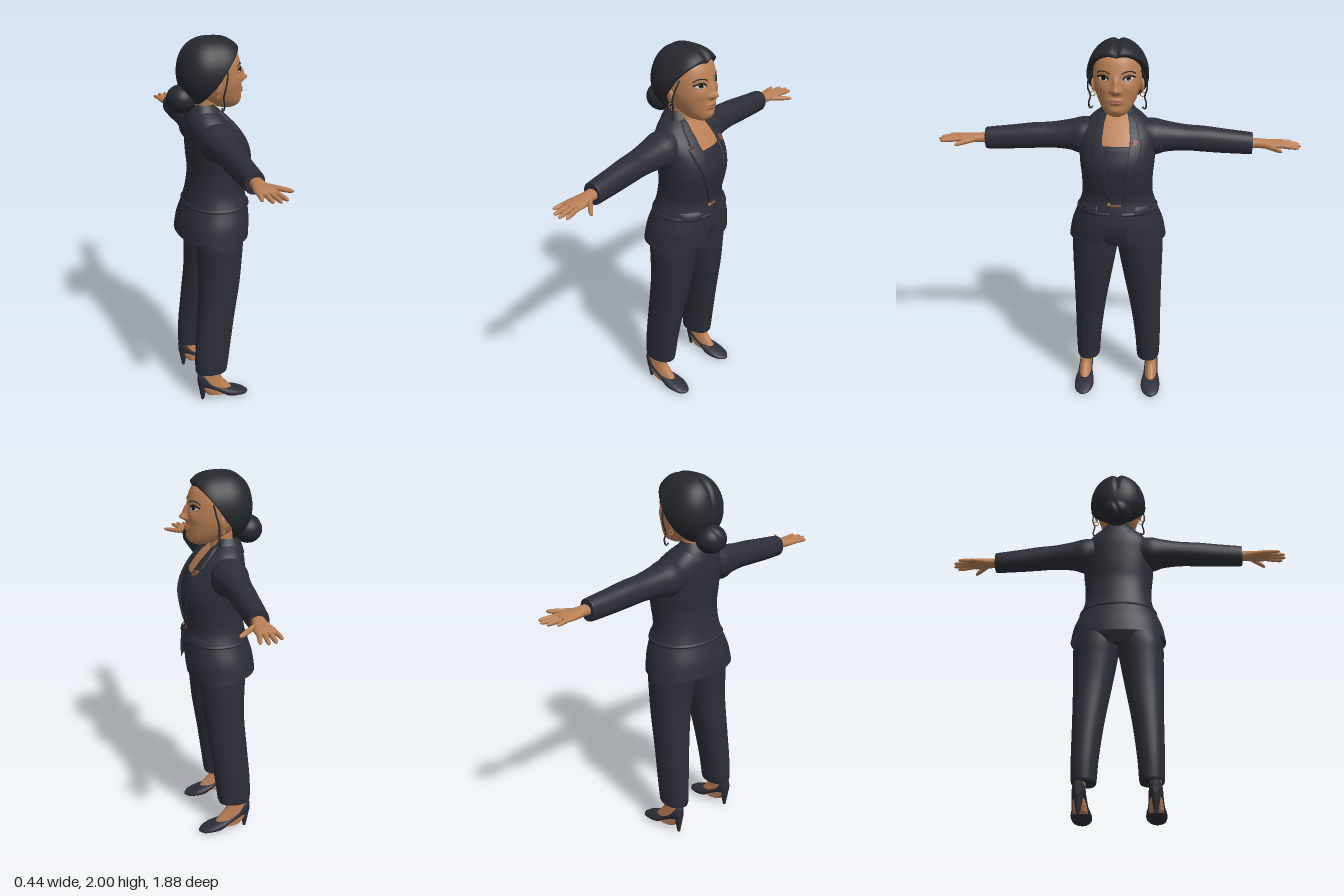
import * as THREE from 'three';

const mat = (name, color, side = THREE.FrontSide) => {
  const m = new THREE.MeshStandardMaterial({ color, side });
  m.name = name;
  return m;
};

// Hermite sampling of section rows; the first column is the position
function sample(rows, a) {
  let i = 0;
  while (i < rows.length - 2 && a > rows[i + 1][0]) i++;
  const p = rows[i], q = rows[i + 1], o = rows[Math.max(i - 1, 0)], r = rows[Math.min(i + 2, rows.length - 1)];
  const h = q[0] - p[0], t = (a - p[0]) / h;
  return p.map((v, k) => {
    const m0 = (q[k] - o[k]) / (q[0] - o[0]) * h, m1 = (r[k] - p[k]) / (r[0] - p[0]) * h;
    return v * (2 * t ** 3 - 3 * t * t + 1) + m0 * (t ** 3 - 2 * t * t + t) + q[k] * (3 * t * t - 2 * t ** 3) + m1 * (t ** 3 - t * t);
  });
}

function meshGrid(verts, rows, cols, flip, closed) {
  const index = [], quad = (a, b, c, d) => flip ? index.push(a, c, b, a, d, c) : index.push(a, b, c, a, c, d);
  for (let i = 0; i < rows - 1; i++)
    for (let j = 0; j < (closed ? cols : cols - 1); j++) {
      const k = (j + 1) % cols;
      quad(i * cols + j, i * cols + k, (i + 1) * cols + k, (i + 1) * cols + j);
    }
  if (closed) for (const end of [0, rows - 1]) {      // flat end caps
    const base = verts.length, ring = verts.slice(end * cols, end * cols + cols);
    const mid = [0, 1, 2].map(k => ring.reduce((s, v) => s + v[k], 0) / cols);
    verts.push(...ring, mid);
    for (let j = 0; j < cols; j++) {
      const a = base + j, b = base + (j + 1) % cols;
      (end === 0) !== flip ? index.push(base + cols, b, a) : index.push(base + cols, a, b);
    }
  }
  const g = new THREE.BufferGeometry();
  g.setAttribute('position', new THREE.Float32BufferAttribute(verts.flat(), 3));
  g.setIndex(index);
  g.computeVertexNormals();
  return g;
}

// Rows are [position, min, max, min, max, front gap] along an axis
function loft(axis, rows, { p = 2.2, n = 40, steps = 6, bump } = {}) {
  const open = rows[0].length > 5, verts = [], total = (rows.length - 1) * steps, cols = open ? n + 1 : n;
  for (let i = 0; i <= total; i++) {
    const s = Math.min(Math.floor(i / steps), rows.length - 2), f = i / steps - s;
    const a = rows[s][0] + (rows[s + 1][0] - rows[s][0]) * f;
    const [, b0, b1, c0, c1, gap = 0] = sample(rows, a);
    const rb = (b1 - b0) / 2, rc = (c1 - c0) / 2;
    const g = open ? Math.asin(Math.min(1, (gap / rb) ** (p / 2))) : 0;
    for (let j = 0; j < cols; j++) {
      const th = Math.PI / 2 + g + (2 * Math.PI - 2 * g) * j / n;
      const pw = v => Math.sign(v) * Math.abs(v) ** (2 / p);
      const b = (b0 + b1) / 2 + rb * pw(Math.cos(th)), c = (c0 + c1) / 2 + rc * pw(Math.sin(th));
      const v = axis === 'x' ? [a, b, c] : axis === 'y' ? [b, a, c] : [b, c, a];
      if (bump && v[2] > 0.04) v[2] += bump(v[0], v[1]);
      verts.push(v);
    }
  }
  return meshGrid(verts, total + 1, cols, axis === 'y', !open);
}

// Front surface height of a vertical loft
const front = (rows, bump = () => 0, p = 2.2) => (x, y) => {
  const [, b0, b1, c0, c1] = sample(rows, y);
  const u = Math.min(1, Math.abs((x - (b0 + b1) / 2) / ((b1 - b0) / 2)));
  return (c0 + c1) / 2 + (c1 - c0) / 2 * (1 - u ** p) ** (1 / p) + bump(x, y);
};

// Thin plate laid on a surface; rows are [y, x0, x1]
function patch(surf, rows, off) {
  const verts = [], n = 10, total = (rows.length - 1) * 5;
  for (let i = 0; i <= total; i++) {
    const s = Math.min(Math.floor(i / 5), rows.length - 2), f = i / 5 - s;
    const [y, x0, x1] = rows[s].map((v, k) => v + (rows[s + 1][k] - v) * f);
    for (let j = 0; j <= n; j++) {
      const x = x0 + (x1 - x0) * Math.min(1, Math.max(0, (j - 1) / (n - 2)));
      const rim = j === 0 || j === n || i === 0 || i === total;
      verts.push([x, y, surf(x, y) + (rim ? 0 : off)]);
    }
  }
  return meshGrid(verts, total + 1, n + 1, false, false);
}
const disc = (surf, x, y, r, off) => patch(surf, [-1, -0.7, 0, 0.7, 1].map(t => {
  const w = r * Math.sqrt(1 - t * t) + 0.0005;
  return [y + t * r, x - w, x + w];
}), off);
const tube = (pts, r) => new THREE.TubeGeometry(new THREE.CatmullRomCurve3(pts.map(q => new THREE.Vector3(...q))), 30, r, 6);
const line = (surf, pts, r) => tube(pts.map(([x, y]) => [x, y, surf(x, y)]), r);
const ball = (x, y, z, a, b, c) => new THREE.SphereGeometry(1, 28, 20).scale(a, b, c).translate(x, y, z);

function mirrored(geo) {
  const g = geo.clone().applyMatrix4(new THREE.Matrix4().makeScale(-1, 1, 1));
  const idx = g.index ? Array.from(g.index.array) : [...Array(g.attributes.position.count).keys()];
  for (let i = 0; i < idx.length; i += 3) [idx[i], idx[i + 1]] = [idx[i + 1], idx[i]];
  g.setIndex(idx);
  return g;
}

// Hair shell swept from the back of the head to the hairline
function hairCap() {
  const verts = [], n = 96, m = 40, line = [[-90, 66], [-45, 73], [0, 101], [45, 128], [90, 142]];
  for (let i = 0; i <= m; i++) for (let j = 0; j < n; j++) {
    const ph = j / n * Math.PI * 2, up = Math.asin(Math.sin(ph)) * 180 / Math.PI;
    const t = Math.max(0.001, Math.min(1, i / (m - 4))) * sample(line, up)[1] * Math.PI / 180;
    const d = [Math.sin(t) * Math.cos(ph), Math.sin(t) * Math.sin(ph), -Math.cos(t)];
    const e = d[2] > 0 ? 3 : 2.3;
    const q = Math.hypot(d[0] / 0.157, d[1] / (d[1] > 0 ? 0.183 : 0.168));
    let r = (q ** e + Math.abs(d[2] / (d[2] > 0 ? 0.172 : 0.16)) ** e) ** (-1 / e);
    if (d[1] > 0) r *= 1 - 0.07 * Math.min(1, d[1] * 2) * Math.exp(-((d[0] * r / 0.014) ** 2));
    r *= 1 - 0.06 * Math.max(0, i - (m - 4));      // rolled-in edge
    verts.push([d[0] * r, 1.82 + d[1] * r, -0.003 + d[2] * r]);
  }
  return meshGrid(verts, m + 1, n, false, true);
}

export function createModel() {
  const root = new THREE.Group(), body = new THREE.Group();
  root.name = 'woman';
  body.name = 'figure';
  body.rotation.y = Math.PI / 2;
  root.add(body);
  const suit = mat('navy suit', 0x2c2d37, THREE.DoubleSide), hair = mat('black hair', 0x26272d, THREE.DoubleSide);
  const skin = mat('skin', 0xb97f55), lip = mat('lips', 0xa4654c), white = mat('eye white', 0xd8cfc8);
  const dark = mat('eye dark', 0x17140f), gold = mat('gold', 0xa8834a), brown = mat('brown', 0x7a4a36);
  const add = (name, geo, m) => {
    const mesh = new THREE.Mesh(geo, m);
    mesh.name = name;
    body.add(mesh);
  };
  const pair = (name, geo, m) => { add(name + 'Left', geo, m); add(name + 'Right', mirrored(geo), m); };

  // Jacket, open at the front
  const jacket = [[0.955, -0.258, 0.258, -0.178, 0.2, 0.072], [1.04, -0.242, 0.242, -0.165, 0.205, 0.05],
    [1.12, -0.212, 0.212, -0.14, 0.2, 0.035], [1.2, -0.186, 0.186, -0.12, 0.186, 0.03],
    [1.3, -0.185, 0.185, -0.108, 0.203, 0.04], [1.38, -0.193, 0.193, -0.115, 0.21, 0.055],
    [1.46, -0.196, 0.196, -0.12, 0.187, 0.066], [1.54, -0.188, 0.188, -0.122, 0.135, 0.074],
    [1.6, -0.14, 0.14, -0.112, 0.08, 0.066], [1.645, -0.078, 0.078, -0.09, 0.03, 0.05]];
  const chest = front(jacket);
  const inset = (rows, d) => rows.map(r => [r[0], r[1] + d, r[2] - d, r[3] + d, r[4] - d]);
  add('jacket', loft('y', jacket, { n: 72, steps: 8 }), suit);
  add('waistSeam', loft('y', [1.122, 1.13, 1.138].map((y, i) => {
    const r = sample(jacket, y), d = i === 1 ? 0.005 : 0;
    return [y, r[1] - d, r[2] + d, r[3] - d, r[4] + d, r[5]];
  }), { n: 72 }), suit);
  add('collar', loft('y', [[1.585, -0.125, 0.125, -0.124, 0.09, 0.078], [1.625, -0.1, 0.1, -0.112, 0.06, 0.062],
    [1.665, -0.07, 0.07, -0.088, 0.025, 0.05]], { n: 48 }), suit);
  pair('lapel', patch(chest, [[1.2, 0.031, 0.037], [1.34, 0.046, 0.088], [1.45, 0.064, 0.124], [1.515, 0.07, 0.132],
    [1.522, 0.07, 0.1], [1.53, 0.07, 0.118], [1.59, 0.064, 0.1], [1.635, 0.05, 0.07]], 0.009), suit);
  pair('pocketFlap', patch(chest, [[1.118, 0.098, 0.188], [1.165, 0.095, 0.178]], 0.009), suit);
  add('brooch', disc(chest, 0.098, 1.51, 0.016, 0.016), brown);
  pair('jacketSleeve', loft('x', [[0.13, 1.42, 1.59, -0.095, 0.085], [0.19, 1.402, 1.588, -0.102, 0.09],
    [0.25, 1.418, 1.574, -0.09, 0.074], [0.35, 1.425, 1.558, -0.077, 0.06], [0.45, 1.42, 1.552, -0.07, 0.055],
    [0.55, 1.415, 1.54, -0.064, 0.05], [0.68, 1.412, 1.526, -0.056, 0.045], [0.692, 1.414, 1.524, -0.054, 0.043]]), suit);

  // Camisole, chest and waist clasp
  add('camisole', loft('y', inset(jacket.slice(1, 7), 0.013).concat([[1.485, -0.18, 0.18, -0.105, 0.163]])), suit);
  add('upperChest', loft('y', inset(jacket.slice(5), 0.019)), skin);
  add('waistbandClasp', patch(front(inset(jacket, 0.013)), [[1.165, -0.028, 0.028], [1.178, -0.028, 0.028]], 0.007), brown);
  add('jacketButton', disc(chest, -0.035, 1.185, 0.007, 0.008), gold);

  // Trousers
  const leg = [[0.168, 0.11, 0.232, -0.127, 0.047], [0.18, 0.107, 0.235, -0.13, 0.05], [0.3, 0.098, 0.238, -0.128, 0.065],
    [0.5, 0.072, 0.238, -0.112, 0.093], [0.7, 0.036, 0.24, -0.097, 0.125], [0.85, 0.008, 0.243, -0.1, 0.14],
    [0.93, -0.004, 0.242, -0.105, 0.146], [1.02, -0.008, 0.215, -0.1, 0.145]];
  pair('trouserLeg', loft('y', leg), suit);
  pair('trouserCrease', line(front(leg), [[0.168, 0.19], [0.166, 0.35], [0.155, 0.5], [0.138, 0.7], [0.125, 0.9]], 0.003), suit);
  add('trouserHips', loft('y', [[0.925, -0.22, 0.22, -0.09, 0.13], [1, -0.222, 0.222, -0.12, 0.155],
    [1.15, -0.18, 0.18, -0.1, 0.178]]), suit);

  // Feet and heeled shoes
  pair('foot', loft('y', [[0.03, 0.152, 0.228, -0.07, 0.09], [0.08, 0.156, 0.224, -0.107, 0.052],
    [0.13, 0.159, 0.221, -0.108, 0.014], [0.2, 0.16, 0.22, -0.105, 0]]), skin);
  pair('shoe', loft('z', [[-0.122, 0.176, 0.204, 0.095, 0.165], [-0.1, 0.158, 0.222, 0.08, 0.172], [-0.06, 0.153, 0.227, 0.066, 0.12],
    [0, 0.148, 0.232, 0.034, 0.078], [0.05, 0.138, 0.242, 0.006, 0.062], [0.1, 0.138, 0.242, 0.001, 0.046],
    [0.145, 0.155, 0.23, 0.001, 0.027], [0.167, 0.18, 0.204, 0.004, 0.014]]), suit);
  pair('shoeHeel', new THREE.CylinderGeometry(0.026, 0.008, 0.1, 16).translate(0.19, 0.05, -0.096), suit);

  // Hands
  pair('palm', loft('x', [[0.66, 1.442, 1.498, -0.033, 0.03], [0.72, 1.447, 1.495, -0.034, 0.034],
    [0.77, 1.448, 1.49, -0.045, 0.048], [0.82, 1.453, 1.488, -0.052, 0.052], [0.85, 1.459, 1.482, -0.046, 0.046]]), skin);
  [['index', 0.825, 0.037, 0.925, 0.058, 0.012], ['middle', 0.83, 0.013, 0.94, 0.024, 0.012], ['ring', 0.83, -0.012, 0.932, -0.012, 0.012],
    ['little', 0.815, -0.037, 0.9, -0.05, 0.011], ['thumb', 0.745, 0.032, 0.835, 0.122, 0.017]].forEach(([name, x0, z0, x1, z1, r]) => {
    const rows = [[0, 1], [0.35, 1], [0.6, 0.95], [0.85, 0.8], [0.96, 0.5], [1, 0.1]].map(([t, k]) => {
      const z = z0 + (z1 - z0) * t, y = 1.471 - t * 0.004;
      return [x0 + (x1 - x0) * t, y - Math.min(r, 0.013) * k, y + Math.min(r, 0.013) * k, z - r * k, z + r * k];
    });
    pair(name + 'Finger', loft('x', rows, { n: 16, p: 2, steps: 3 }), skin);
  });

  // Head and sculpted face
  const hump = (x, y, cx, cy, sx, sy, h) => h * Math.exp(-(((x - cx) / sx) ** 2) - ((y - cy) / sy) ** 2);
  const bump = (x, y) => {
    const ax = Math.abs(x);
    return hump(x, y, 0, 1.778, 0.018, 0.017, 0.034) + hump(x, y, 0, 1.81, 0.013, 0.03, 0.02)
      + hump(ax, y, 0.02, 1.772, 0.009, 0.009, 0.01) + hump(x, y, 0, 1.729, 0.032, 0.008, 0.01)
      + hump(x, y, 0, 1.714, 0.028, 0.008, 0.009) + hump(ax, y, 0.06, 1.833, 0.026, 0.016, -0.009)
      + hump(ax, y, 0.066, 1.785, 0.025, 0.022, 0.005) + hump(x, y, 0, 1.675, 0.03, 0.015, 0.006);
  };
  const head = [[1.635, -0.028, 0.028, 0.06, 0.135], [1.65, -0.054, 0.054, 0.02, 0.158], [1.68, -0.079, 0.079, -0.03, 0.168],
    [1.72, -0.1, 0.1, -0.08, 0.17], [1.77, -0.117, 0.117, -0.1, 0.17], [1.82, -0.123, 0.123, -0.12, 0.168],
    [1.88, -0.12, 0.12, -0.125, 0.158], [1.93, -0.103, 0.103, -0.11, 0.135], [1.97, -0.06, 0.06, -0.07, 0.08]];
  const face = front(head, bump);
  add('neck', loft('y', [[1.54, -0.085, 0.085, -0.07, 0.085], [1.6, -0.062, 0.062, -0.07, 0.052], [1.66, -0.055, 0.055, -0.065, 0.045],
    [1.74, -0.06, 0.06, -0.07, 0.06]]), skin);
  add('head', loft('y', head, { n: 128, steps: 9, bump }), skin);
  pair('ear', ball(0, 0, 0, 0.012, 0.036, 0.025).rotateY(0.35).translate(0.122, 1.77, 0.005), skin);
  pair('earInner', ball(0.131, 1.773, 0.006, 0.004, 0.02, 0.012), lip);
  pair('earring', new THREE.TorusGeometry(0.012, 0.0025, 8, 20).translate(0.127, 1.72, 0.01), gold);
  pair('eyeWhite', patch(face, [[1.821, 0.056, 0.066], [1.825, 0.046, 0.077], [1.833, 0.037, 0.087], [1.841, 0.048, 0.08], [1.845, 0.056, 0.07]], 0.004), white);
  pair('iris', disc(face, 0.062, 1.834, 0.0105, 0.007), dark);
  pair('upperLash', line(face, [[0.035, 1.832], [0.047, 1.843], [0.062, 1.847], [0.078, 1.843], [0.093, 1.837]], 0.0045), dark);
  pair('lowerLid', line(face, [[0.037, 1.831], [0.05, 1.822], [0.065, 1.82], [0.086, 1.831]], 0.003), skin);
  pair('eyebrow', line(face, [[0.028, 1.858], [0.05, 1.867], [0.073, 1.868], [0.094, 1.856]], 0.0032), hair);
  pair('nostril', disc(face, 0.011, 1.761, 0.004, 0.002), brown);
  add('upperLip', patch(face, [[1.723, -0.037, 0.037], [1.728, -0.026, 0.026], [1.733, -0.01, 0.01]], 0.003), lip);
  add('lowerLip', patch(face, [[1.706, -0.012, 0.012], [1.712, -0.026, 0.026], [1.7205, -0.036, 0.036]], 0.003), lip);

  // Hair: parted cap, bun and loose strands
  add('hairCap', hairCap(), hair);
  const bun = new THREE.SphereGeometry(1, 48, 32), bp = bun.attributes.position;
  for (let i = 0; i < bp.count; i++) {
    const x = bp.getX(i), y = bp.getY(i), z = bp.getZ(i);
    const k = 1 - 0.09 * Math.exp(-(((x - 0.35 * y) / 0.13) ** 2)) * Math.max(0, -z);
    bp.setXYZ(i, x * k * 0.082, y * k * 0.073, z * k * 0.076);
  }
  bun.computeVertexNormals();
  add('hairBun', bun.translate(0, 1.692, -0.147), hair);
  pair('looseStrand', tube([[0.118, 1.86, 0.06], [0.143, 1.81, 0.052], [0.15, 1.76, 0.04], [0.138, 1.715, 0.035],
    [0.146, 1.68, 0.038], [0.14, 1.65, 0.032], [0.126, 1.66, 0.03]], 0.0045), hair);
  return root;
}
